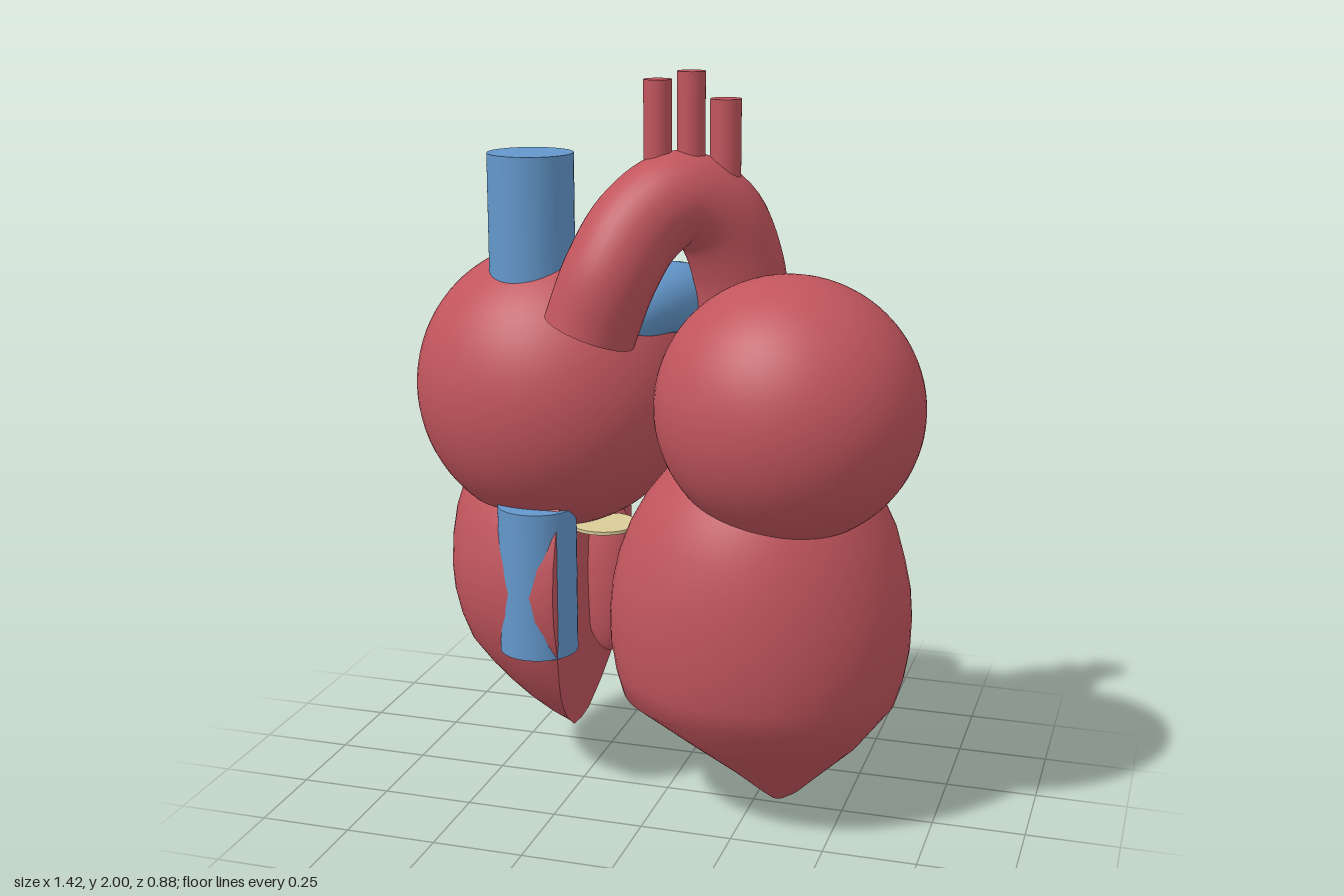
import * as THREE from 'three';
import { toCreasedNormals } from 'three/addons/utils/BufferGeometryUtils.js';

const V = (x, y, z) => new THREE.Vector3(x, y, z);

// Closed body from elliptical cross-sections [y, xMin, xMax, zBack, zFront]
function loft(rows, clampX = (x) => x, n = 64) {
  const pos = [], idx = [];
  rows.forEach(([y, x0, x1, z0, z1]) => {
    for (let j = 0; j <= n; j++) {
      const a = (j / n) * Math.PI * 2;
      const x = (x0 + x1) / 2 + ((x1 - x0) / 2) * Math.cos(a);
      pos.push(clampX(x, y), y, (z0 + z1) / 2 + ((z1 - z0) / 2) * Math.sin(a));
    }
  });
  for (let i = 0; i < rows.length - 1; i++) {
    for (let j = 0; j < n; j++) {
      const a = i * (n + 1) + j, b = a + 1, c = a + n + 1, d = c + 1;
      idx.push(a, c, b, b, c, d);
    }
  }
  const g = new THREE.BufferGeometry();
  g.setAttribute('position', new THREE.Float32BufferAttribute(pos, 3));
  g.setIndex(idx);
  return toCreasedNormals(g, 0.75);
}

export function createModel() {
  const heart = new THREE.Group();
  heart.name = 'heart';
  const material = (name, color, side = THREE.FrontSide) => {
    const m = new THREE.MeshStandardMaterial({ color, side });
    m.name = name;
    return m;
  };
  const red = material('muscle red', 0xc1555d, THREE.DoubleSide);
  const blue = material('vein blue', 0x6397cb, THREE.DoubleSide);
  const cream = material('valve cream', 0xd9cc98, THREE.DoubleSide);

  const add = (name, geometry, mat, x = 0, y = 0, z = 0) => {
    const m = new THREE.Mesh(geometry, mat);
    m.name = name;
    m.position.set(x, y, z);
    heart.add(m);
    return m;
  };
  const ellipsoid = (name, mat, [x, y, z], [rx, ry, rz]) =>
    add(name, new THREE.SphereGeometry(1, 64, 40), mat, x, y, z).scale.set(rx, ry, rz);
  const tube = (name, mat, r, pts) =>
    add(name, new THREE.TubeGeometry(new THREE.CatmullRomCurve3(pts.map((p) => V(...p))), 60, r, 32), mat);
  const pipe = (name, mat, r, x, z, y0, y1) =>
    add(name, new THREE.CylinderGeometry(r, r, y1 - y0, 40), mat, x, (y0 + y1) / 2, z);

  // Atria
  ellipsoid('rightAtrium', red, [-0.33, 1.14, -0.045], [0.385, 0.39, 0.355]);
  ellipsoid('leftAtrium', red, [0.36, 1.16, 0.12], [0.35, 0.345, 0.322]);

  // Left ventricle, tapering to the apex
  add('leftVentricle', loft([
    [0, 0.309, 0.311, -0.031, -0.029],
    [0.008, 0.29, 0.335, -0.05, -0.005],
    [0.03, 0.26, 0.37, -0.08, 0.02],
    [0.1, 0.175, 0.44, -0.14, 0.09],
    [0.2, 0.05, 0.54, -0.235, 0.205],
    [0.33, -0.115, 0.635, -0.33, 0.335],
    [0.4, -0.135, 0.655, -0.355, 0.355],
    [0.48, -0.148, 0.668, -0.37, 0.366],
    [0.56, -0.15, 0.67, -0.38, 0.37],
    [0.64, -0.143, 0.663, -0.382, 0.367],
    [0.72, -0.125, 0.645, -0.375, 0.358],
    [0.8, -0.095, 0.622, -0.357, 0.338],
    [0.88, -0.05, 0.585, -0.322, 0.31],
    [0.95, 0.005, 0.545, -0.27, 0.265],
    [1.01, 0.065, 0.49, -0.2, 0.2],
    [1.06, 0.15, 0.4, -0.11, 0.11],
    [1.08, 0.27, 0.28, -0.005, 0.005],
  ]), red);

  // Right ventricle, cut flat on its inner side
  const cut = (x, y) => Math.min(x, -0.29 + 0.045 * Math.min(1, Math.max(0, (y - 0.14) / 0.3)));
  add('rightVentricle', loft([
    [0.138, -0.292, -0.288, -0.1, -0.096],
    [0.145, -0.31, -0.19, -0.16, -0.03],
    [0.2, -0.385, -0.115, -0.25, 0.05],
    [0.25, -0.45, -0.05, -0.305, 0.1],
    [0.3, -0.505, 0.005, -0.345, 0.14],
    [0.35, -0.555, 0.055, -0.372, 0.17],
    [0.41, -0.605, 0.105, -0.4, 0.2],
    [0.48, -0.63, 0.13, -0.422, 0.228],
    [0.55, -0.645, 0.145, -0.436, 0.245],
    [0.62, -0.65, 0.15, -0.44, 0.25],
    [0.7, -0.647, 0.147, -0.436, 0.242],
    [0.78, -0.636, 0.136, -0.422, 0.22],
    [0.86, -0.612, 0.112, -0.395, 0.185],
    [0.95, -0.55, 0.05, -0.32, 0.11],
    [1.0, -0.3, -0.2, -0.12, -0.08],
  ], cut), red);
  ellipsoid('innerWall', red, [-0.2, 0.59, -0.09], [0.08, 0.23, 0.06]);

  // Aorta with its three branches
  const arch = [[-0.145, 1.35, 0.215], [-0.09, 1.5, 0.205], [-0.03, 1.62, 0.145], [0.05, 1.68, 0.075],
    [0.13, 1.63, 0.005], [0.175, 1.5, -0.045], [0.19, 1.32, -0.07], [0.2, 1.02, -0.08]];
  tube('aorta', red, 0.122, arch);
  const end = add('aortaEnd', new THREE.CircleGeometry(0.122, 32), red, ...arch[0]);
  end.lookAt(-0.2, 1.2, 0.225);
  [[0, 0.09, 1.98, 0.036], [0.08, 0.06, 2, 0.036], [0.16, 0.022, 1.93, 0.04]].forEach(
    ([x, z, top, r]) => pipe('aortaBranch', red, r, x, z, 1.65, top));

  // Rounded vessel stump behind the left atrium
  ellipsoid('rearStump', red, [0.27, 1.02, -0.17], [0.115, 0.085, 0.11]);

  // Great veins
  pipe('upperVein', blue, 0.114, -0.36, 0.05, 1.3, 1.78);
  pipe('lowerVein', blue, 0.106, -0.325, 0.14, 0.44, 0.85);

  // Pulmonary artery
  tube('pulmonaryArtery', blue, 0.095, [[-0.14, 1.34, 0.08], [-0.03, 1.4, 0],
    [0.025, 1.38, -0.09], [0.02, 1.22, -0.165], [0, 1.08, -0.17], [-0.03, 0.98, -0.17]]);
  tube('pulmonaryBranch', blue, 0.085, [[0.03, 1.01, -0.19], [-0.05, 0.96, -0.19], [-0.14, 0.91, -0.19]]);

  // Cream vessel at the back and the valve disc
  tube('rearVessel', cream, 0.05, [[0.02, 1.08, -0.31], [0.04, 0.96, -0.33], [0.08, 0.82, -0.338], [0.1, 0.71, -0.335]]);
  add('valveDisc', new THREE.CylinderGeometry(0.09, 0.09, 0.009, 40), cream, -0.175, 0.772, 0.02);

  return heart;
}
